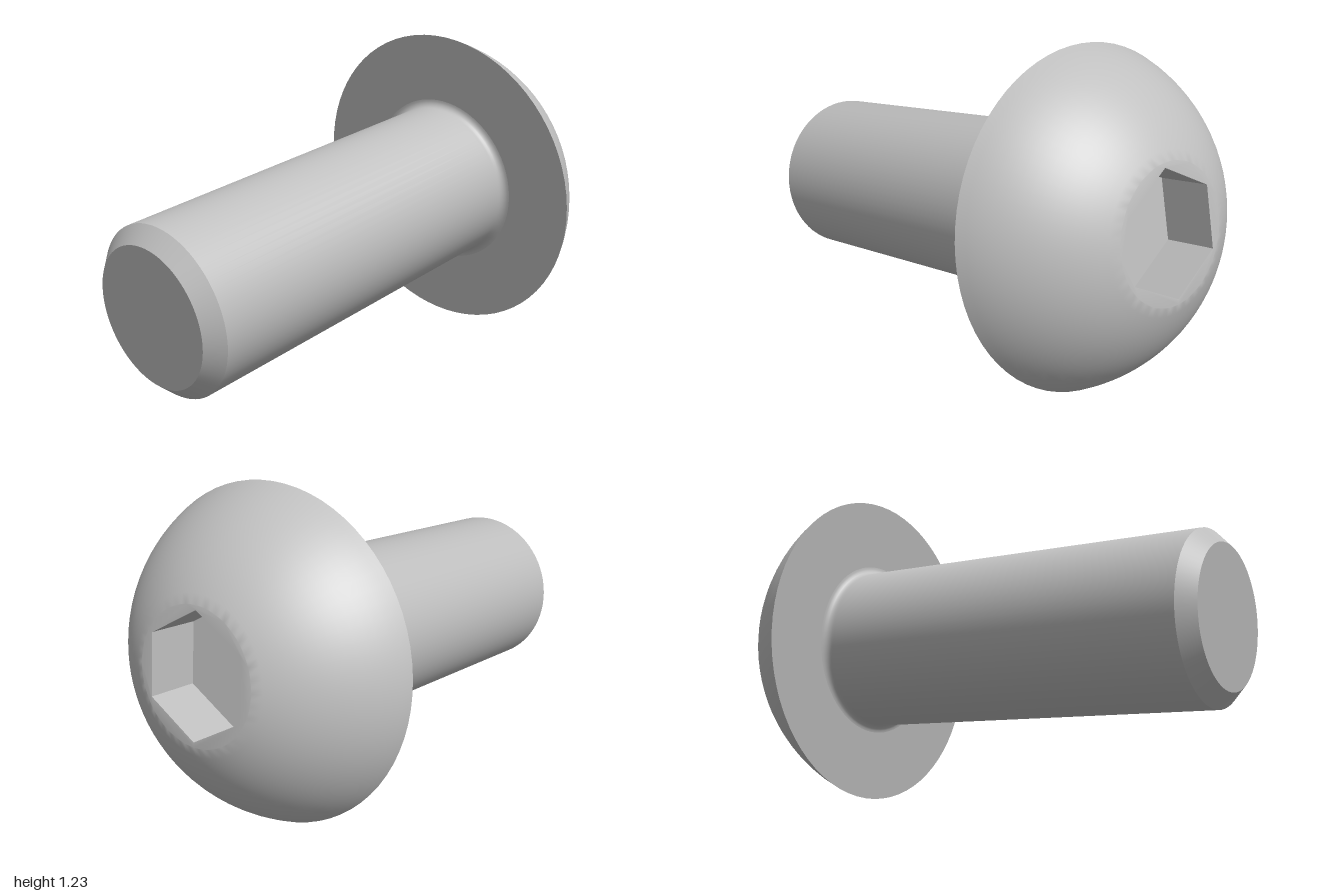
import * as THREE from 'three';
import { mergeGeometries, toCreasedNormals } from 'three/addons/utils/BufferGeometryUtils.js';

const SEG = 72;
const SHANK_R = 0.319, TIP_R = 0.262, TIP_Y = -1.575, CHAMFER_Y = -1.518;
const HEAD_R = 0.622, FACE_R = 0.248, FACE_Y = 0.37;
const HEX_R = 0.23, HEX_DEPTH = 0.2, FILLET = 0.03;

const lathe = (pts) =>
  new THREE.LatheGeometry(pts.map(([r, y]) => new THREE.Vector2(r, y)), SEG);

// points of a regular polygon with a corner on +x
const ring = (r, n) => Array.from({ length: n }, (_, i) => {
  const a = (i / n) * Math.PI * 2;
  return new THREE.Vector2(r * Math.cos(a), r * Math.sin(a));
});

export function createModel() {
  const steel = new THREE.MeshStandardMaterial({ color: 0xc0c0c0 });
  steel.name = 'steel grey';
  const bolt = new THREE.Group();
  bolt.name = 'buttonHeadBolt';
  const add = (name, geometry) => {
    const mesh = new THREE.Mesh(geometry, steel);
    mesh.name = name;
    bolt.add(mesh);
  };

  // shank: flat tip, chamfer, cylinder flaring into a small fillet
  add('shankTip', lathe([[0, TIP_Y], [TIP_R, TIP_Y]]));
  add('shankChamfer', lathe([[TIP_R, TIP_Y], [SHANK_R, CHAMFER_Y]]));
  const shank = [[SHANK_R, CHAMFER_Y], [SHANK_R, -FILLET - 0.01]];
  for (let i = 0; i <= 6; i++) {
    const a = (i / 6) * Math.PI / 2;
    shank.push([SHANK_R + FILLET * (1 - Math.cos(a)), FILLET * (Math.sin(a) - 1)]);
  }
  add('shank', lathe(shank));

  // flat underside of the head
  add('headUnderside', lathe([[SHANK_R + FILLET, 0], [HEAD_R, 0]]));

  // spherical dome, blending into a flat face with a hexagonal opening
  const cy = (FACE_R ** 2 + FACE_Y ** 2 - HEAD_R ** 2) / (2 * FACE_Y);
  const R = Math.hypot(HEAD_R, cy);
  const a0 = Math.atan2(-cy, HEAD_R), a1 = Math.atan2(FACE_Y - cy, FACE_R);
  const dome = [];
  for (let i = 0; i <= 14; i++) {
    const a = a0 + (a1 - a0) * i / 14;
    dome.push([R * Math.cos(a), cy + R * Math.sin(a)]);
  }
  const face = new THREE.Shape(ring(FACE_R, SEG));
  face.holes.push(new THREE.Path(ring(HEX_R, 6).reverse()));
  const faceGeo = new THREE.ShapeGeometry(face).rotateX(-Math.PI / 2).translate(0, FACE_Y, 0);
  add('headDome', toCreasedNormals(mergeGeometries([lathe(dome), faceGeo]), 0.6));

  // hexagonal socket: walls mirrored so they face inward, and a flat floor
  const walls = new THREE.CylinderGeometry(HEX_R, HEX_R, HEX_DEPTH, 6, 1, true, Math.PI / 2)
    .scale(1, 1, -1).translate(0, FACE_Y - HEX_DEPTH / 2, 0).toNonIndexed();
  walls.computeVertexNormals();
  add('socketWalls', walls);
  add('socketFloor', new THREE.CircleGeometry(HEX_R, 6)
    .rotateX(-Math.PI / 2).translate(0, FACE_Y - HEX_DEPTH, 0));

  // lay the bolt along its tilted axis
  const axis = new THREE.Vector3(1, 0.157, -0.088).normalize();
  const up = new THREE.Vector3(0, 1, 0.045);
  up.addScaledVector(axis, -up.dot(axis)).normalize();
  const side = new THREE.Vector3().crossVectors(up, axis);
  bolt.quaternion.setFromRotationMatrix(new THREE.Matrix4().makeBasis(up, axis, side));
  bolt.position.set(0.595, 0.615, 0);

  const model = new THREE.Group();
  model.name = 'bolt';
  model.add(bolt);
  return model;
}
